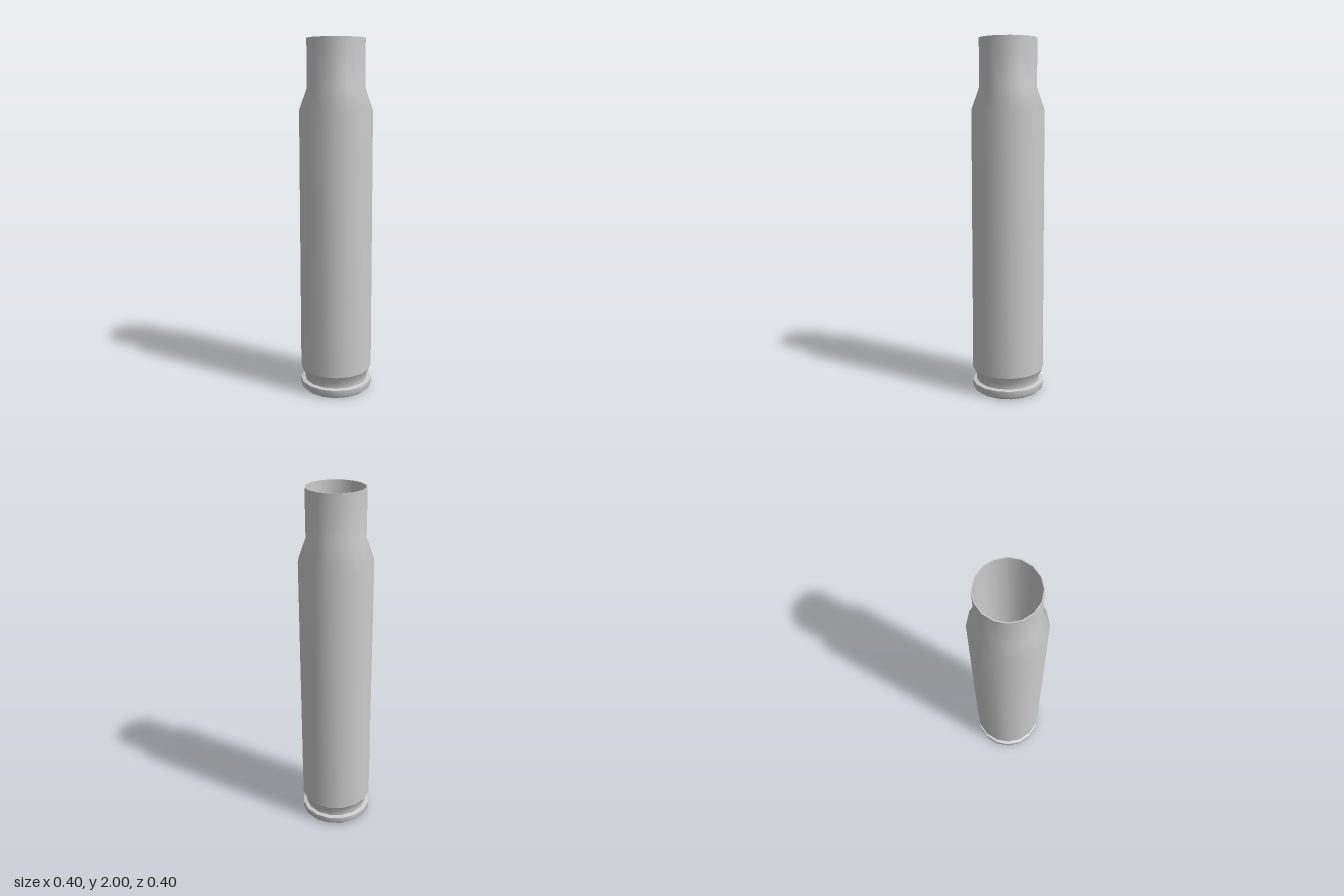
import * as THREE from 'three';

const SIDES = 16;

// Revolves a [radius, height] profile, with flats facing the x and z axes.
function revolve(name, profile, material) {
  const points = profile.map(([r, y]) => new THREE.Vector2(r, y));
  const mesh = new THREE.Mesh(
    new THREE.LatheGeometry(points, SIDES, Math.PI / SIDES, Math.PI * 2), material);
  mesh.name = name;
  return mesh;
}

export function createModel() {
  const model = new THREE.Group();
  model.name = 'emptyCasing';
  const metal = new THREE.MeshStandardMaterial({ color: 0xcccccc });

  // Profiles run from the bottom centre, up the outside, then down the inside.
  // Separate parts meet at sharp edges; each part is smooth in itself.
  const parts = {
    primerCap: [[0, 0.01], [0.088, 0.01]],
    primerRecess: [[0.088, 0.01], [0.094, 0]],
    baseRim: [[0.094, 0], [0.19, 0], [0.2057, 0.014], [0.2057, 0.05]],
    rimTop: [[0.2057, 0.05], [0.183, 0.055]],
    extractorGroove: [[0.183, 0.055], [0.183, 0.085], [0.2057, 0.127]],
    // Main wall, tapered shoulder and neck
    body: [[0.2057, 0.127], [0.2035, 1.615], [0.1605, 1.735], [0.1605, 2]],
    mouthLip: [[0.1605, 2], [0.155, 2]],
    // Straight bore with a closed floor
    bore: [[0.155, 2], [0.155, 0.15], [0, 0.15]],
  };
  for (const [name, profile] of Object.entries(parts)) {
    model.add(revolve(name, profile, metal));
  }
  return model;
}
